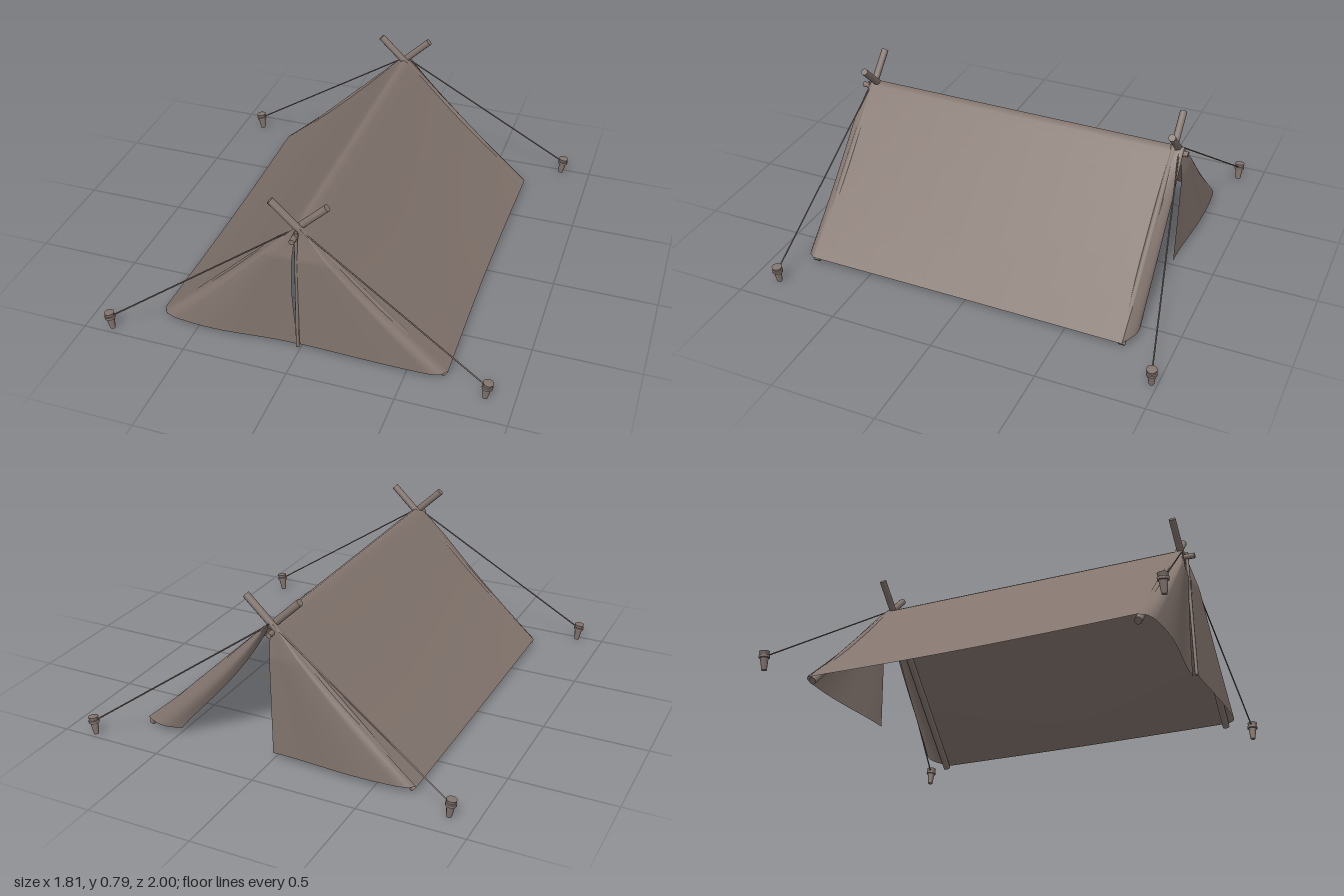
import * as THREE from 'three';
import { ParametricGeometry } from 'three/addons/geometries/ParametricGeometry.js';

const V = (x, y, z) => new THREE.Vector3(x, y, z);

export function createModel() {
  const model = new THREE.Group();
  model.name = 'tent';
  const canvas = new THREE.MeshStandardMaterial({ name: 'canvasBrown', color: 0x83756e, side: THREE.DoubleSide });
  const wood = new THREE.MeshStandardMaterial({ name: 'woodBrown', color: 0x83756e });
  const rope = new THREE.MeshStandardMaterial({ name: 'ropeBrown', color: 0x786a63 });

  const add = (name, geometry, material, parent = model) => {
    const mesh = new THREE.Mesh(geometry, material);
    mesh.name = name;
    parent.add(mesh);
    return mesh;
  };

  // cloth surface from a rule p(u, v)
  const cloth = (name, rule, nu, nv) =>
    add(name, new ParametricGeometry((u, v, t) => t.set(...rule(u, v)), nu, nv), canvas);

  // straight round bar between two points
  const bar = (name, a, b, r, material, sides = 10, parent = model) => {
    const dir = b.clone().sub(a);
    const mesh = add(name, new THREE.CylinderGeometry(r, r, dir.length(), sides), material, parent);
    mesh.position.copy(a).add(b).multiplyScalar(0.5);
    mesh.quaternion.setFromUnitVectors(V(0, 1, 0), dir.normalize());
    return mesh;
  };

  // height of the roof cloth at distance x from the ridge
  const EAVE = 0.685;
  const roofY = (x) => {
    const t = Math.abs(x) / EAVE;
    const soft = Math.sqrt(t * t + 0.0006) - 0.0245 * (1 - t);
    return 0.68 - 0.637 * soft - 0.018 * Math.sin(Math.PI * Math.min(t, 1));
  };

  // roof, draped over the ridge with a light sag between the frames
  cloth('roof', (u, v) => {
    const z = -0.785 + v * 1.58;
    const s = u * 2 - 1;
    const sag = Math.sin(Math.PI * v);
    const x = s * (EAVE - (s > 0 ? 0.012 : 0.003) * sag * Math.abs(s));
    return [x, roofY(s * EAVE) - 0.009 * sag * Math.abs(s) - 0.005 * (1 - v), z];
  }, 48, 16);

  // hanging door flap: u runs from the roof edge to the middle, v from apex to hem
  const flap = (name, side, end, z0, depth, innerX, hemY, wave) =>
    cloth(name, (u, v) => {
      const k = 0.012 + 0.988 * v;
      const edge = side * EAVE * k;
      const round = Math.sqrt(1 - Math.pow(1 - Math.min(1, u * 8), 2));
      const x = THREE.MathUtils.lerp(edge, innerX(k), u);
      const yEdge = roofY(edge);
      const yIn = THREE.MathUtils.lerp(0.665, hemY, k);
      const y = THREE.MathUtils.lerp(yEdge, yIn, u);
      const z = z0 + round * depth * Math.min(1, 0.3 + k * 3) + wave * k * Math.sin(u * Math.PI * 1.5);
      return [x, y, end * z];
    }, 32, 20);

  flap('frontRightFlap', -1, 1, 0.793, 0.045, (k) => -0.008 - 0.02 * Math.sin(Math.PI * k), 0.026, 0.018);
  flap('frontLeftFlap', 1, 1, 0.793, 0.045, () => 0.003, 0.042, 0.004);
  flap('backRightFlap', -1, -1, 0.783, 0.03, () => 0.004, 0.036, 0.012);

  // rolled hem on the inner edge of the front left flap
  bar('flapHem', V(-0.002, 0.66, 0.825), V(-0.006, 0.03, 0.838), 0.008, canvas, 8);

  // back left flap, gathered aside along the roof edge
  cloth('gatheredFlap', (u, v) => {
    const k = 0.012 + 0.988 * v;
    const x = EAVE * k;
    const width = 0.2 * Math.pow(k, 0.8) * (1 - 0.35 * Math.sin(Math.PI * k));
    const fold = Math.sin(u * Math.PI);
    const y = THREE.MathUtils.lerp(roofY(x), roofY(x) - 0.06 * Math.sin(Math.PI * k), u);
    return [x - width * u, Math.max(0.03, y), -0.783 - 0.03 * fold - 0.02 * u * k];
  }, 16, 20);

  // crossed pole frames at both ends, lashed at the crossing
  for (const [name, z] of [['front', 0.788], ['back', -0.772]]) {
    const frame = new THREE.Group();
    frame.name = name + 'Frame';
    model.add(frame);
    for (const s of [-1, 1]) {
      bar('crossedPole', V(s * 0.67, 0.02, z - 0.004 * s), V(-s * 0.125, 0.785, z + 0.012 * s), 0.017, wood, 12, frame);
    }
    const lash = add('lashing', new THREE.TorusGeometry(0.022, 0.006, 6, 16), rope, frame);
    lash.position.set(0, 0.655, z);
    lash.rotation.x = Math.PI / 2;
  }
  bar('ridgePole', V(-0.007, 0.635, -0.83), V(-0.007, 0.635, 0.865), 0.013, wood, 12);

  // pegs with a collar, each tied to the nearest crossing
  const pegProfile = [[0, 0], [0.012, 0], [0.019, 0.056], [0.025, 0.058], [0.025, 0.07],
    [0.02, 0.072], [0.024, 0.088], [0, 0.09]].map(([r, y]) => new THREE.Vector2(r, y));
  const pegGeometry = new THREE.LatheGeometry(pegProfile, 14).toNonIndexed();
  pegGeometry.computeVertexNormals();
  const pegs = [[-0.875, 0.97], [0.875, 0.867], [0.852, -0.975], [-0.882, -0.885]];
  for (const [x, z] of pegs) {
    const s = Math.sign(x);
    const peg = add('peg', pegGeometry, wood);
    peg.position.set(x - s * 0.005, 0.012, z);
    peg.rotation.z = -s * 0.12;
    bar('guyRope', V(s * 0.012, 0.665, z > 0 ? 0.805 : -0.79), V(x, 0.077, z), 0.0035, rope, 6);
  }
  return model;
}
